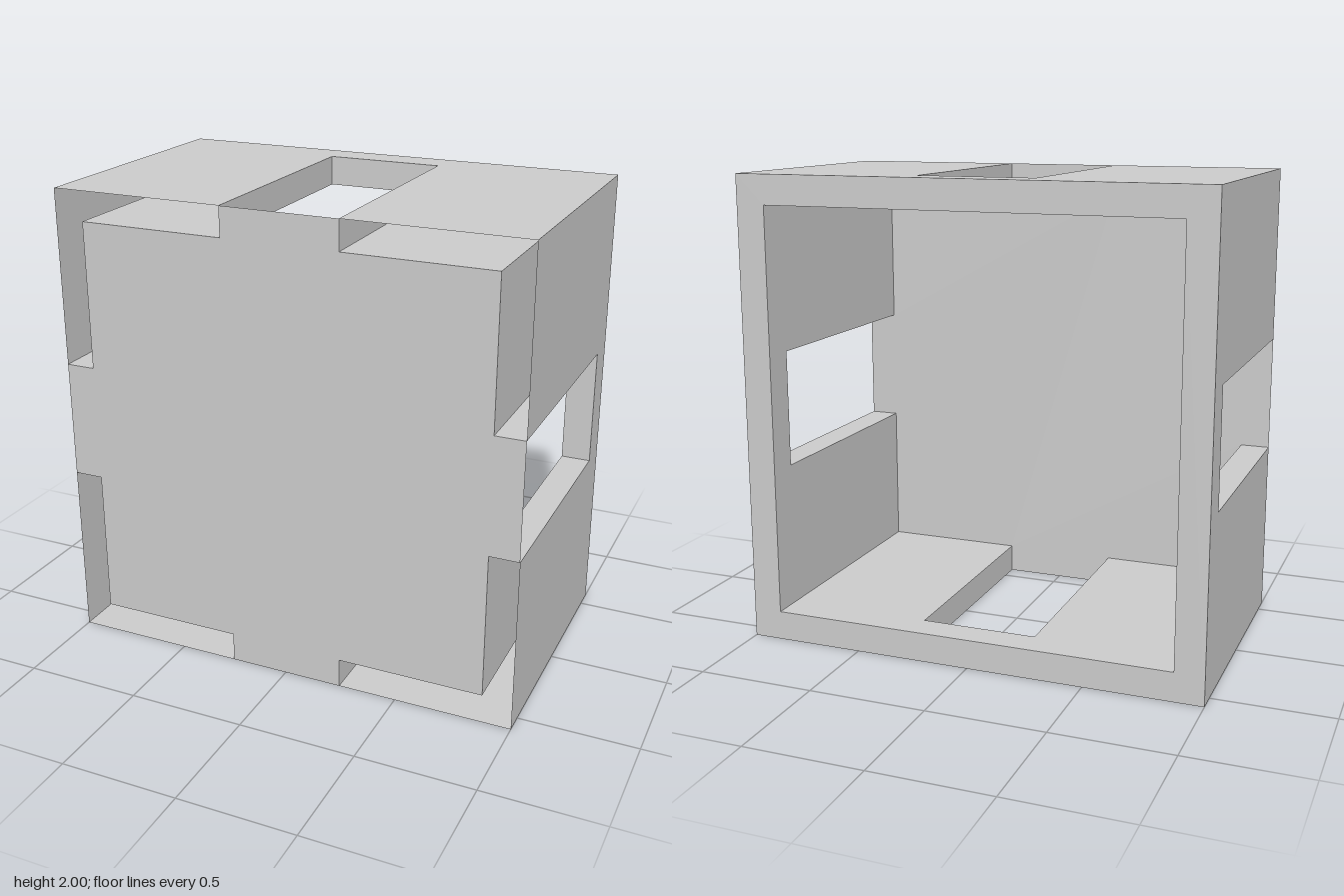
import * as THREE from 'three';

const R = 1, I = 0.875, S = 0.25;            // outer half size, inner half size, half slot width
const FRONT = 0.585, STOP = -0.45, BACK = -0.585;

const material = new THREE.MeshStandardMaterial({ color: 0xcccccc, flatShading: true, side: THREE.DoubleSide });

// Open-ended wall following a closed loop in xy, from z0 to z1
function tube(loop, z0, z1) {
  const pos = [];
  loop.forEach(([ax, ay], i) => {
    const [bx, by] = loop[(i + 1) % loop.length];
    pos.push(ax, ay, z0, bx, by, z0, bx, by, z1, ax, ay, z0, bx, by, z1, ax, ay, z1);
  });
  const geometry = new THREE.BufferGeometry();
  geometry.setAttribute('position', new THREE.Float32BufferAttribute(pos, 3));
  geometry.computeVertexNormals();
  return geometry;
}

const square = (h) => [[-h, -h], [h, -h], [h, h], [-h, h]];
const toVectors = (loop) => loop.map(([x, y]) => new THREE.Vector2(x, y));

export function createModel() {
  const model = new THREE.Group();
  const body = new THREE.Group();
  body.name = 'boxBody';
  body.position.y = 1;
  model.add(body);

  const add = (name, geometry, parent = body) => {
    const mesh = new THREE.Mesh(geometry, material);
    mesh.name = name;
    parent.add(mesh);
    return mesh;
  };

  // Four hollow corner walls, open at the front, and the slot ends between them
  const corner = tube([[S, I], [I, I], [I, S], [R, S], [R, R], [S, R]], STOP, FRONT);
  const slotEnd = new THREE.PlaneGeometry(2 * S, R - I).translate(0, (R + I) / 2, STOP);
  for (let k = 0; k < 4; k++) {
    const side = new THREE.Group();
    side.name = 'wallQuarter';
    side.rotation.z = k * Math.PI / 2;
    add('cornerWall', corner, side);
    add('slotEnd', slotEnd, side);
    body.add(side);
  }

  // Rear band joining the corners
  add('rearBandOuter', tube(square(R), BACK, STOP));
  add('rearBandInner', tube(square(I).reverse(), BACK, STOP));

  // Flat rim around the open back
  const rim = new THREE.Shape(toVectors(square(R)));
  rim.holes.push(new THREE.Path(toVectors(square(I))));
  add('rearRim', new THREE.ShapeGeometry(rim).rotateY(Math.PI).translate(0, 0, BACK));

  // Thin front panel with a tab closing each slot
  const outline = [];
  for (let k = 0; k < 4; k++) {
    const c = Math.round(Math.cos(k * Math.PI / 2)), s = Math.round(Math.sin(k * Math.PI / 2));
    for (const [x, y] of [[R, -S], [R, S], [I, S], [I, I], [S, I]]) {
      outline.push([x * c - y * s, x * s + y * c]);
    }
  }
  add('frontPanel', new THREE.ShapeGeometry(new THREE.Shape(toVectors(outline))).translate(0, 0, FRONT));

  return model;
}
